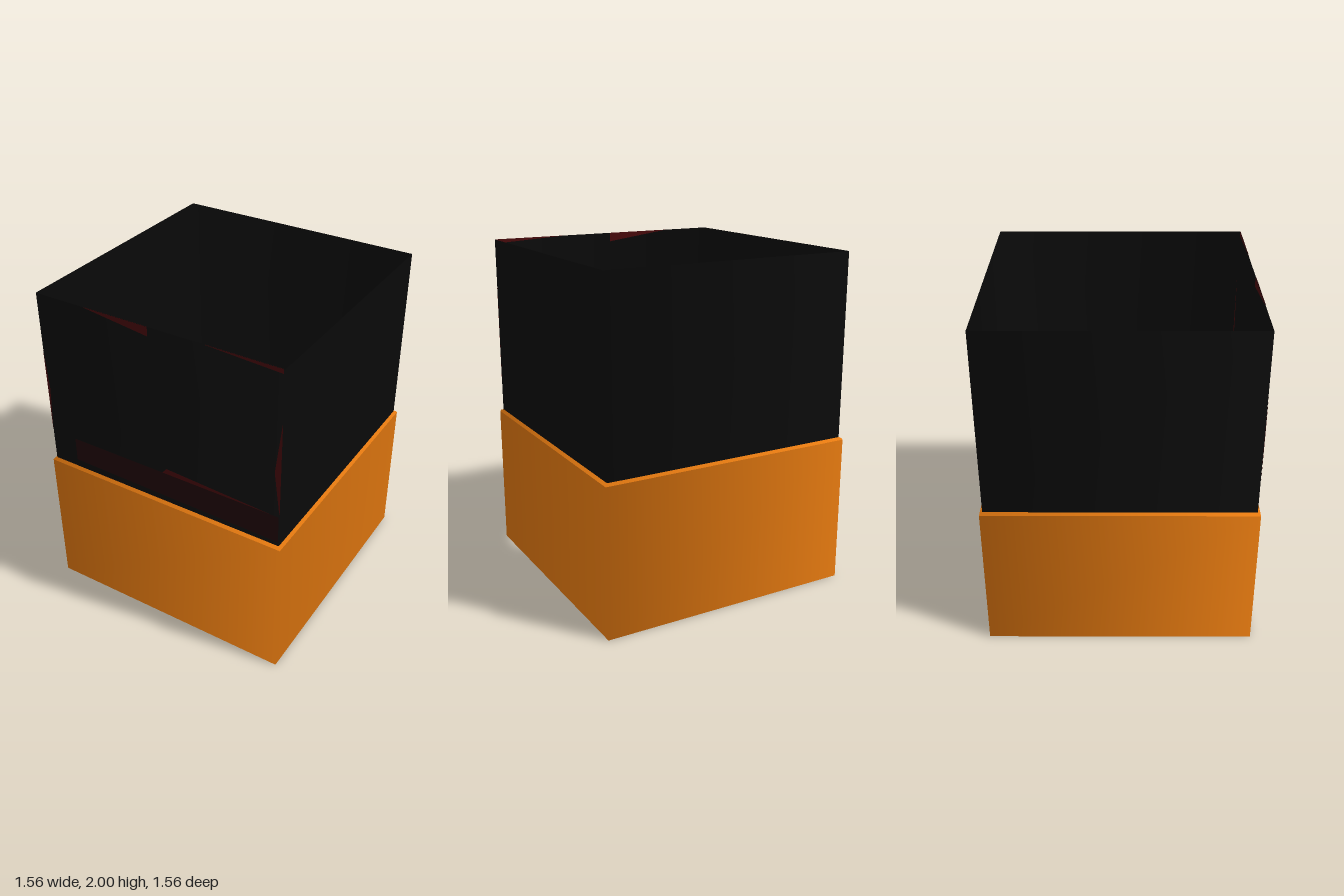
import * as THREE from 'three';

const CORNERS = [[1, 1], [1, -1], [-1, -1], [-1, 1]];

// Open square tube through [halfWidth, y] rings; normals fan softly round the corners
function squareTube(rings, up = 0) {
  const pos = [], nor = [], idx = [];
  for (const [half, y] of rings) {
    for (const [cx, cz] of CORNERS) {
      pos.push(cx * half, y, cz * half);
      const n = new THREE.Vector3(cx, up, cz).normalize();
      nor.push(n.x, n.y, n.z);
    }
  }
  for (let r = 0; r < rings.length - 1; r++) {
    for (let i = 0; i < 4; i++) {
      const a = r * 4 + i, b = r * 4 + (i + 1) % 4;
      idx.push(a, b, b + 4, a, b + 4, a + 4);
    }
  }
  const g = new THREE.BufferGeometry();
  g.setAttribute('position', new THREE.Float32BufferAttribute(pos, 3));
  g.setAttribute('normal', new THREE.Float32BufferAttribute(nor, 3));
  g.setIndex(idx);
  return g;
}

export function createModel() {
  const group = new THREE.Group();
  const paint = (color) => new THREE.MeshStandardMaterial({ color, side: THREE.DoubleSide });
  const orange = paint(0xe67a10), black = paint(0x0b0b0b);
  const darkRed = paint(0x220608), red = paint(0x4a0a0c);
  const add = (name, geometry, material) => {
    const mesh = new THREE.Mesh(geometry, material);
    mesh.name = name;
    group.add(mesh);
    return mesh;
  };

  // Lower sleeve with a small bevelled rim running in to the upper walls
  add('lowerSleeve', squareTube([[0.782, 0], [0.782, 0.888]]), orange);
  add('sleeveRim', squareTube([[0.782, 0.888], [0.777, 0.897], [0.765, 0.902]], 1.6), orange);

  // Thin upper walls, open at the top
  add('upperWalls', squareTube([[0.765, 0.9], [0.765, 2]]), black);

  // Faint red band and streaks along the edges of the front wall
  const streaks = [
    ['frontBand', [[-0.6, 0.95], [0.76, 0.93], [0.76, 1.1], [-0.6, 1.1]], darkRed],
    ['topLeftStreak', [[-0.45, 2], [-0.03, 1.945], [-0.03, 2]], red],
    ['topRightStreak', [[0.3, 2], [0.76, 1.975], [0.76, 2]], red],
    ['leftEdgeStreak', [[-0.765, 1.1], [-0.748, 1.4], [-0.765, 1.65]], red],
    ['rightEdgeStreak', [[0.765, 1.1], [0.765, 1.7], [0.728, 1.38]], red],
    ['lowerStreak', [[0.02, 1.1], [0.72, 1.1], [0.05, 1.135]], red],
  ];
  for (const [name, points, material] of streaks) {
    const shape = new THREE.Shape(points.map(([x, y]) => new THREE.Vector2(x, y)));
    const geometry = new THREE.ShapeGeometry(shape);
    for (const z of [0.767, 0.763]) add(name, geometry, material).position.z = z;
  }
  return group;
}
